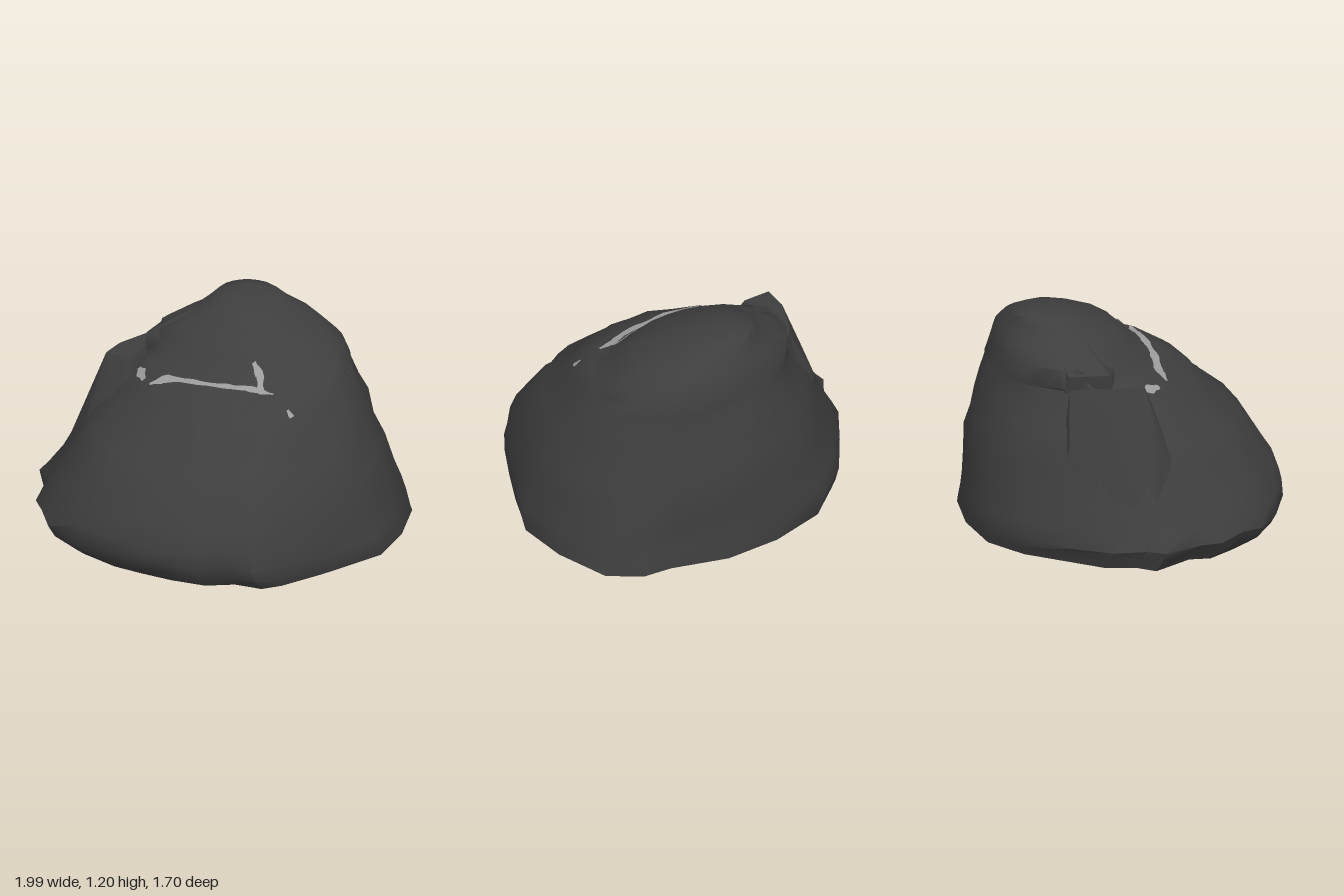
import * as THREE from 'three';
import { toCreasedNormals } from 'three/addons/utils/BufferGeometryUtils.js';
import { ConvexGeometry } from 'three/addons/geometries/ConvexGeometry.js';

// Widest outline of the rock, seen from above: x, z
const OUTLINE = [
  [-1, .07], [-.93, -.03], [-.9, -.2], [-.77, -.4], [-.62, -.62], [-.41, -.79], [-.09, -.855],
  [.23, -.85], [.55, -.75], [.72, -.73], [.89, -.6], [.98, -.28], [1, .02], [.92, .2], [.83, .4],
  [.7, .64], [.62, .73], [.46, .74], [.32, .83], [.12, .85], [-.07, .85], [-.24, .83], [-.45, .76],
  [-.65, .65], [-.75, .53], [-.85, .4], [-.85, .28],
];

// Level sections: height, left edge, right edge, back edge, front edge
const LEVELS = [
  [0, -.94, .99, -.845, .78], [.05, -.97, .99, -.845, .83], [.11, -1, .975, -.84, .855],
  [.19, -.95, .95, -.835, .85], [.3, -.88, .92, -.83, .8], [.45, -.79, .87, -.815, .71],
  [.57, -.72, .81, -.79, .62], [.68, -.62, .76, -.765, .46], [.77, -.54, .71, -.74, .39],
  [.865, -.48, .65, -.71, .22], [.88, -.47, .64, -.705, .14], [.98, -.45, .58, -.68, .05],
  [1.04, -.35, .47, -.655, -.03], [1.09, -.26, .36, -.625, -.12], [1.13, -.21, .24, -.6, -.2],
  [1.17, -.17, .15, -.575, -.28],
];

// Repeatable roughness in the range -1 to 1
const rough = (i, j) => {
  const s = Math.sin(i * 12.99 + j * 78.23) * 43758.55;
  return 2 * (s - Math.floor(s)) - 1;
};

const mix = (a, b, t) => a + (b - a) * t;

function rockGeometry() {
  const n = OUTLINE.length, points = [], index = [];
  LEVELS.forEach(([y, left, right, back, front], i) => {
    // The ragged outline becomes rounder with height
    const round = Math.min(y, .8) * .9;
    OUTLINE.forEach(([x, z], j) => {
      const r = Math.hypot(x, z / .855), s = mix(1, 1 / r, round);
      const wobble = 1 + (i > 3 ? .012 : .005) * rough(i, j);
      const px = mix(left, right, (x * s + 1) / 2), pz = mix(back, front, (z * s + .855) / 1.71);
      const cx = (left + right) / 2, cz = (back + front) / 2;
      const lift = (i > 0 && i < 9 ? .016 : i > 8 && i < 14 ? .006 : 0) * rough(j, i + 5);
      points.push(cx + (px - cx) * wobble, y + lift, cz + (pz - cz) * wobble);
    });
  });
  for (let i = 0; i < LEVELS.length - 1; i++) {
    for (let j = 0; j < n; j++) {
      const a = i * n + j, a1 = i * n + (j + 1) % n, b = a + n, b1 = a1 + n;
      index.push(a, b, a1, a1, b, b1);
    }
  }
  // Flat underside and slightly domed crown
  const bottom = points.length / 3, crown = bottom + 1, last = (LEVELS.length - 1) * n;
  points.push(0, 0, 0, -.04, 1.195, -.47);
  for (let j = 0; j < n; j++) {
    const k = (j + 1) % n;
    index.push(bottom, j, k, last + j, crown, last + k);
  }
  const geometry = new THREE.BufferGeometry();
  geometry.setAttribute('position', new THREE.Float32BufferAttribute(points, 3));
  geometry.setIndex(index);
  return toCreasedNormals(geometry, .85);
}

// Ribbon laid on the rock along a path of x, z, width
function seamGeometry(rock, path) {
  const ray = new THREE.Raycaster(), down = new THREE.Vector3(0, -1, 0);
  const steps = (path.length - 1) * 4, points = [], index = [];
  for (let i = 0; i <= steps; i++) {
    const k = Math.min(Math.floor(i / 4), path.length - 2), t = i / 4 - k;
    const [x, z, w] = path[k].map((v, c) => mix(v, path[k + 1][c], t));
    const dx = path[k + 1][0] - path[k][0], dz = path[k + 1][1] - path[k][1], d = Math.hypot(dx, dz);
    const half = w / 2 * (1 + .3 * rough(i, 3));
    for (const side of [-1, 0, 1]) {
      const px = x - side * half * dz / d, pz = z + side * half * dx / d;
      ray.set(new THREE.Vector3(px, 3, pz), down);
      const hit = ray.intersectObject(rock)[0];
      points.push(px, (hit ? hit.point.y : .8) + .008, pz);
    }
    if (i < steps) {
      for (const c of [0, 1]) {
        const a = i * 3 + c;
        index.push(a, a + 1, a + 3, a + 3, a + 1, a + 4);
      }
    }
  }
  const geometry = new THREE.BufferGeometry();
  geometry.setAttribute('position', new THREE.Float32BufferAttribute(points, 3));
  geometry.setIndex(index);
  geometry.computeVertexNormals();
  return geometry;
}

export function createModel() {
  const model = new THREE.Group();
  const stone = new THREE.MeshStandardMaterial({ color: 0x3e3e3e });
  stone.name = 'dark stone';
  const pale = new THREE.MeshStandardMaterial({ color: 0x9c9c9c, side: THREE.DoubleSide });
  pale.name = 'pale seam';

  const add = (name, geometry, material) => {
    const mesh = new THREE.Mesh(geometry, material);
    mesh.name = name;
    model.add(mesh);
    return mesh;
  };
  const chunk = (name, corners) => {
    const geometry = new ConvexGeometry(corners.map(c => new THREE.Vector3(...c)));
    return add(name, toCreasedNormals(geometry, .6), stone);
  };

  const rock = add('boulder', rockGeometry(), stone);

  // Split slab on the right shoulder, rooted deep in the boulder
  chunk('shoulderSlab', [
    [-.62, .875, .04], [-.61, .875, -.1], [-.53, .88, -.28], [-.48, .88, -.36], [-.47, .87, .05],
    [-.7, .6, .1], [-.7, .6, -.15], [-.61, .62, -.38], [-.42, .78, .08], [-.5, .6, .15],
    [-.86, .28, .05], [-.8, .28, -.2], [-.6, .25, -.45], [-.7, .28, .25], [-.3, .3, 0],
  ]);
  // Broken ledges on the crest and front
  chunk('crestLedge', [
    [-.47, .95, -.14], [-.47, .9, -.12], [-.46, .95, -.36], [-.28, 1.07, -.24], [-.25, 1.08, -.42],
    [-.2, .96, -.05], [-.44, .7, -.15], [-.42, .7, -.4], [-.1, .8, -.3],
  ]);
  chunk('frontLedge', [
    [-.4, .42, .62], [-.34, .48, .6], [-.2, .48, .63], [-.25, .45, .66], [-.3, .36, .6], [-.2, .36, .6],
  ]);

  // Pale stone showing in the crack across the upper front
  add('mainSeam', seamGeometry(rock, [
    [-.28, .2, .02], [-.2, .17, .06], [0, .175, .035], [.2, .155, .04], [.33, .125, .055], [.42, .12, .015],
  ]), pale);
  add('leftSeam', seamGeometry(rock, [[.25, .02, .025], [.31, .06, .045], [.34, .12, .03]]), pale);
  add('rightSeam', seamGeometry(rock, [[-.42, .05, .02], [-.38, .1, .05], [-.34, .15, .015]]), pale);
  add('endSeam', seamGeometry(rock, [[.52, .155, .02], [.555, .17, .03]]), pale);
  return model;
}
